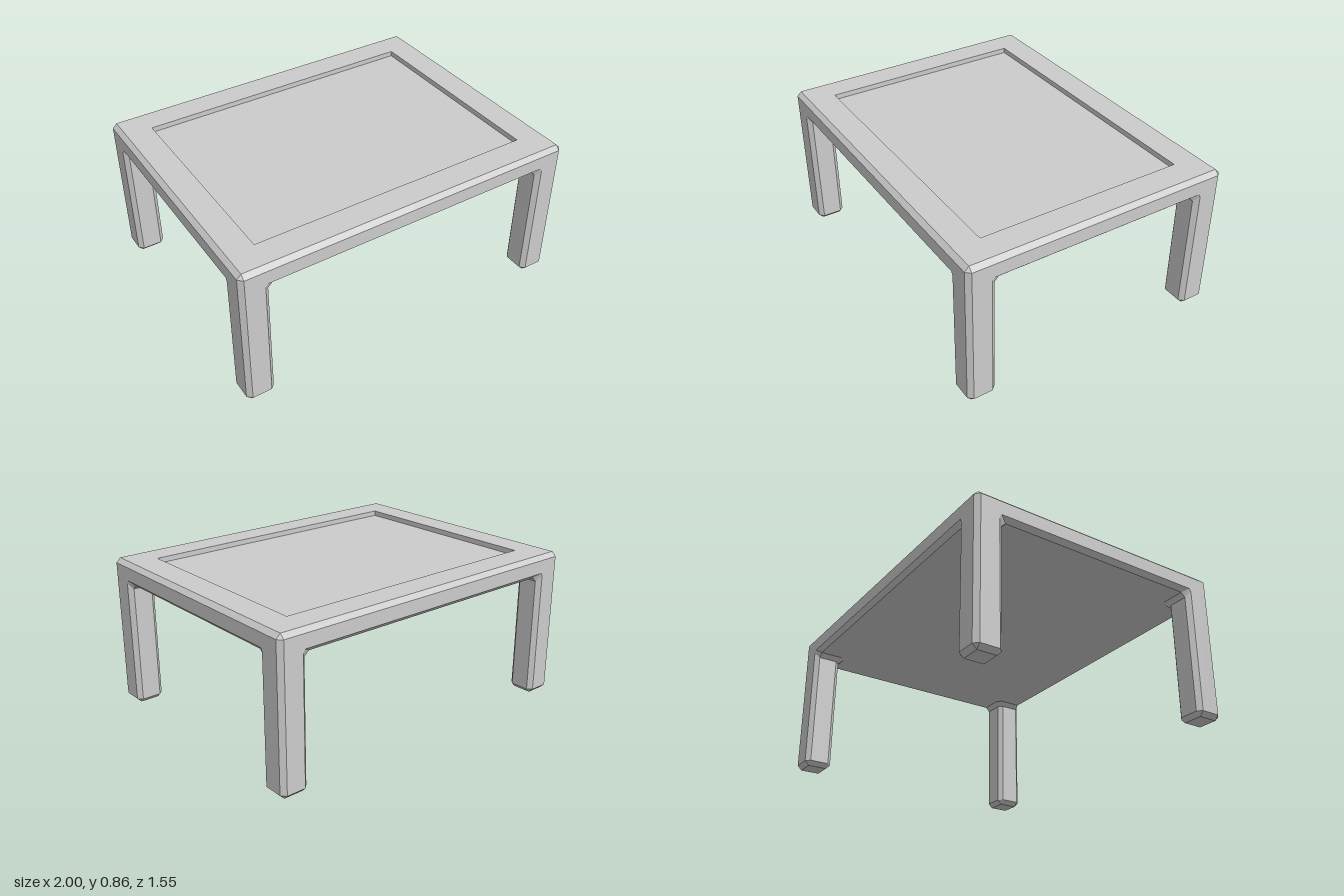
import * as THREE from 'three';

const HX = 1, HZ = 0.773;              // half width and half depth
const C = 0.025, L = 0.16, F = L + C;  // chamfer, leg width, width of leg flare
const TOP = 0.857, EDGE = TOP - C;     // table top and start of its chamfer
const UNDER = 0.73, SIDE = UNDER + C;  // underside and lower edge of the apron
const R = 0.176, FLOOR = TOP - 0.03;   // rim width and floor of the recess

// Corner quarter, points are [inset from side, height, inset from front].
function legFaces() {
  const I = L - C;
  const ring = (f) => [[C, 0], [I, 0], [L, C], [L, I], [I, L], [C, L], [0, I], [0, C]].map(f);
  const clamp = (v) => Math.min(Math.max(v, C), I);
  const rings = [
    ring(([u, w]) => [clamp(u), 0, clamp(w)]),
    ring(([u, w]) => [u, C, w]),
    ring(([u, w], i) => [u, i === 1 || i === 6 ? 0.738 : UNDER - C, w]),
    // flared top that meets the apron and the underside
    [[C, SIDE, 0], [0.145, SIDE, 0], [F, UNDER, C], [F, UNDER, L],
      [L, UNDER, F], [C, UNDER, F], [0, SIDE, 0.145], [0, SIDE, C]],
  ];
  const faces = [[[C, 0, C], [I, 0, C], [I, 0, I], [C, 0, I]]];
  for (let k = 0; k < 3; k++) {
    for (let i = 0; i < 8; i++) {
      const j = (i + 1) % 8;
      faces.push([rings[k][j], rings[k][i], rings[k + 1][i], rings[k + 1][j]]);
    }
  }
  return faces;
}

const apronFaces = [
  // outer faces and corner chamfer
  [[HX, SIDE, 0], [C, SIDE, 0], [C, EDGE, 0], [HX, EDGE, 0]],
  [[0, SIDE, C], [0, SIDE, HZ], [0, EDGE, HZ], [0, EDGE, C]],
  [[C, SIDE, 0], [0, SIDE, C], [0, EDGE, C], [C, EDGE, 0]],
  // lower chamfers
  [[HX, UNDER, C], [F, UNDER, C], [0.145, SIDE, 0], [HX, SIDE, 0]],
  [[C, UNDER, F], [C, UNDER, HZ], [0, SIDE, HZ], [0, SIDE, 0.145]],
];

const undersideFaces = [
  [[HX, UNDER, HZ], [C, UNDER, HZ], [C, UNDER, F], [L, UNDER, F],
    [F, UNDER, L], [F, UNDER, C], [HX, UNDER, C]],
];

const rimFaces = [
  // upper chamfers
  [[HX, EDGE, 0], [C, EDGE, 0], [C, TOP, C], [HX, TOP, C]],
  [[0, EDGE, C], [0, EDGE, HZ], [C, TOP, HZ], [C, TOP, C]],
  [[C, EDGE, 0], [0, EDGE, C], [C, TOP, C]],
  // flat rim
  [[C, TOP, C], [C, TOP, HZ], [R, TOP, HZ], [R, TOP, R]],
  [[C, TOP, C], [R, TOP, R], [HX, TOP, R], [HX, TOP, C]],
  // walls of the recess
  [[R, FLOOR, HZ], [R, FLOOR, R], [R, TOP, R], [R, TOP, HZ]],
  [[R, FLOOR, R], [HX, FLOOR, R], [HX, TOP, R], [R, TOP, R]],
];

const panelFaces = [[[R, FLOOR, R], [R, FLOOR, HZ], [HX, FLOOR, HZ], [HX, FLOOR, R]]];

const quarters = [[1, 1], [-1, 1], [1, -1], [-1, -1]];

// Mirrors convex faces into the given quarters, with flat normals.
function mirroredGeometry(faces, signs) {
  const pos = [];
  for (const [sx, sz] of signs) {
    for (const face of faces) {
      const pts = face.map(([u, y, w]) => new THREE.Vector3(sx * (HX - u), y, sz * (HZ - w)));
      if (sx * sz < 0) pts.reverse();
      for (let i = 1; i < pts.length - 1; i++) {
        const tri = [pts[0], pts[i], pts[i + 1]];
        if (new THREE.Triangle(...tri).getArea() < 1e-8) continue;
        for (const p of tri) pos.push(p.x, p.y, p.z);
      }
    }
  }
  const geo = new THREE.BufferGeometry();
  geo.setAttribute('position', new THREE.Float32BufferAttribute(pos, 3));
  geo.computeVertexNormals();
  return geo;
}

export function createModel() {
  const group = new THREE.Group();
  group.name = 'table';
  const material = new THREE.MeshStandardMaterial({ color: 0xcccccc, flatShading: true });
  const add = (name, faces, signs = quarters) => {
    const mesh = new THREE.Mesh(mirroredGeometry(faces, signs), material);
    mesh.name = name;
    group.add(mesh);
  };

  add('apron', apronFaces);
  add('underside', undersideFaces);
  add('topRim', rimFaces);
  add('recessedPanel', panelFaces);
  for (const [sx, sz] of quarters) {
    add(`${sz > 0 ? 'front' : 'back'}${sx > 0 ? 'Left' : 'Right'}Leg`, legFaces(), [[sx, sz]]);
  }
  return group;
}
